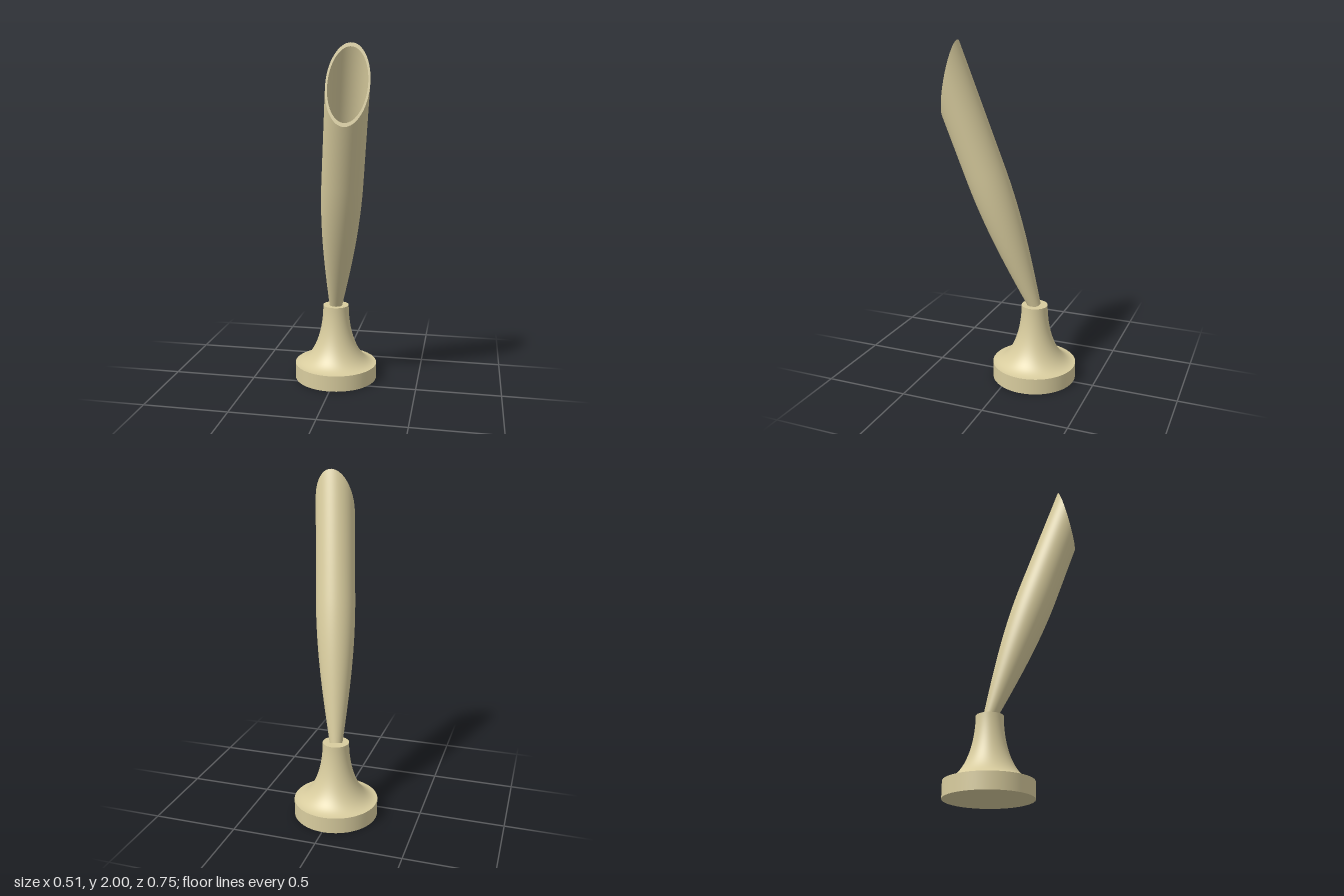
import * as THREE from 'three';
import { ParametricGeometry } from 'three/addons/geometries/ParametricGeometry.js';

export function createModel() {
  const group = new THREE.Group();
  const cream = new THREE.MeshStandardMaterial({ color: 0xd8cc9e });
  cream.name = 'cream';
  const add = (name, geometry, x = 0, y = 0, z = 0) => {
    const mesh = new THREE.Mesh(geometry, cream);
    mesh.name = name;
    mesh.position.set(x, y, z);
    group.add(mesh);
    return mesh;
  };

  // Base: disc, concave flared stem and flat stem top
  const bx = -0.006, bz = -0.127, stemTop = 0.46, discTop = 0.095;
  add('baseDisc', new THREE.CylinderGeometry(0.25, 0.25, discTop, 64), bx, discTop / 2, bz);
  const flare = [];
  for (let i = 0; i <= 24; i++) {
    const a = (i / 24) * Math.PI / 2;
    flare.push(new THREE.Vector2(0.25 - 0.172 * Math.sin(a), stemTop - (stemTop - discTop) * Math.cos(a)));
  }
  add('flaredStem', new THREE.LatheGeometry(flare, 64), bx, 0, bz);
  add('stemTop', new THREE.CircleGeometry(0.078, 64).rotateX(-Math.PI / 2), bx, stemTop, bz);

  // Leaning hollow tube, swelling from a narrow foot and cut by a slanted plane
  const foot = new THREE.Vector3(-0.007, 0.455, -0.126);
  const mouth = new THREE.Vector3(0.138, 1.785, 0.325);
  const cut = new THREE.Vector3(0.09, 0.22, 0.97).normalize();
  const axis = mouth.clone().sub(foot).normalize();
  const side = new THREE.Vector3(1, 0, 0).addScaledVector(axis, -axis.x).normalize();
  const up = axis.clone().cross(side);
  const fullRadius = 0.117, wall = 0.011;
  const radius = t => 0.038 + (fullRadius - 0.038) * Math.sin(Math.PI / 2 * Math.min(1, t / 0.85));

  // Point on the tube: u goes round, v from foot to cut, inset moves inwards
  const tubePoint = (u, v, inset, target) => {
    const a = u * Math.PI * 2;
    const out = side.clone().multiplyScalar(Math.cos(a)).addScaledVector(up, Math.sin(a));
    const end = mouth.clone().sub(foot).addScaledVector(out, inset - fullRadius).dot(cut) / axis.dot(cut);
    const t = v * end;
    target.copy(foot).addScaledVector(axis, t).addScaledVector(out, radius(t) - inset);
  };
  add('tubeOutside', new ParametricGeometry((u, v, p) => tubePoint(u, v, 0, p), 64, 40));
  add('tubeInside', new ParametricGeometry((u, v, p) => tubePoint(1 - u, v, wall, p), 64, 40));
  add('tubeRim', new ParametricGeometry((u, v, p) => tubePoint(u, 1, v * wall, p), 64, 1));

  return group;
}
